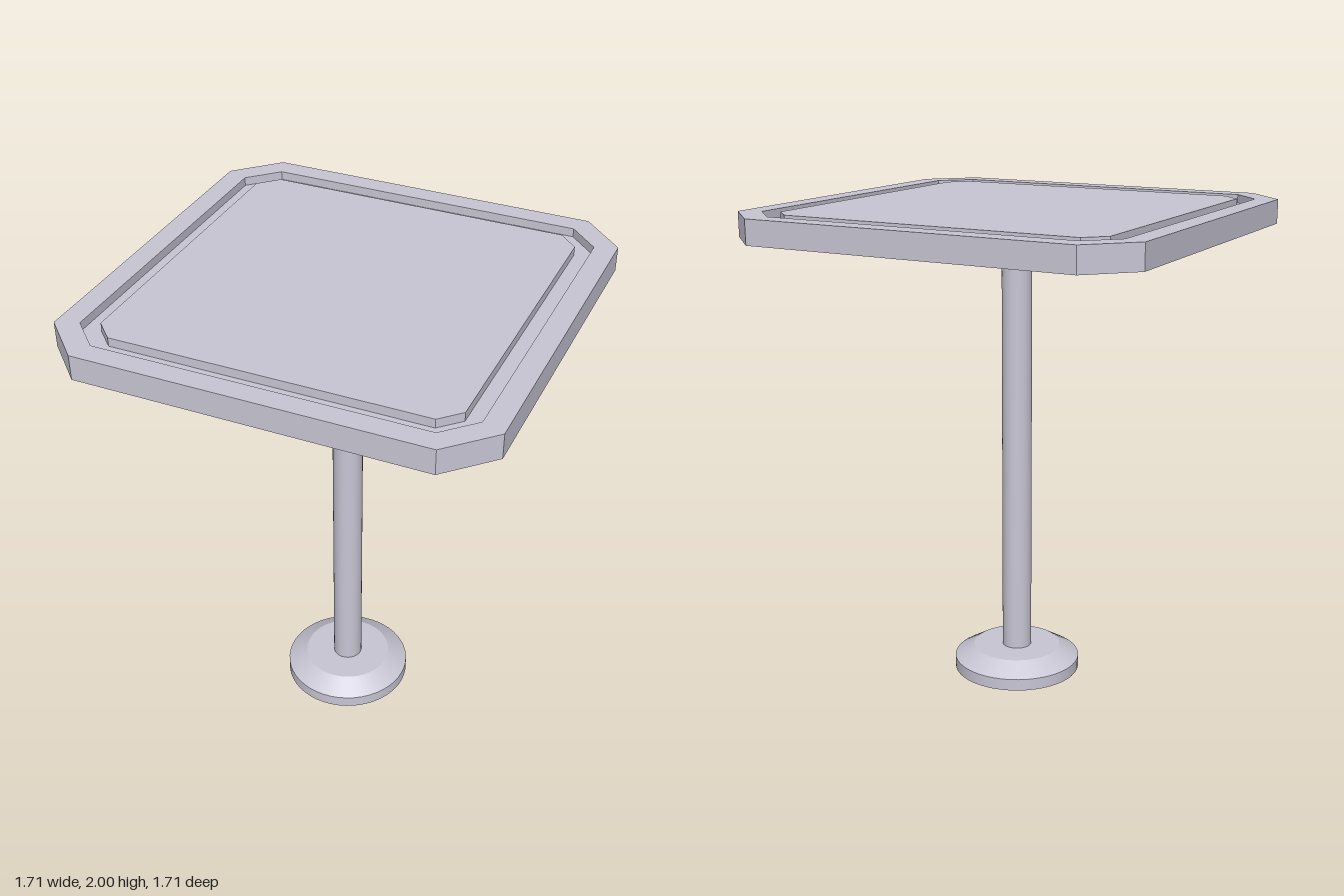
import * as THREE from 'three';

// Square of half-width h whose corners are cut off where the straight sides end at c
function cutSquare(h, c, Type = THREE.Shape) {
  const shape = new Type();
  shape.setFromPoints([
    [h, -c], [h, c], [c, h], [-c, h], [-h, c], [-h, -c], [-c, -h], [c, -h],
  ].map(([x, y]) => new THREE.Vector2(x, y)));
  shape.closePath();
  return shape;
}

export function createModel() {
  const model = new THREE.Group();
  model.name = 'pedestalTable';
  const grey = new THREE.MeshStandardMaterial({ color: 0xc8c6d4 });
  grey.name = 'lavender grey';

  const add = (name, geometry, y) => {
    const mesh = new THREE.Mesh(geometry, grey);
    mesh.name = name;
    mesh.position.y = y;
    model.add(mesh);
  };
  // Flat plate lying in the xz plane, bottom at its own y = 0
  const plate = (shape, depth) =>
    new THREE.ExtrudeGeometry(shape, { depth, bevelEnabled: false }).rotateX(-Math.PI / 2);

  // Round foot: straight disc with a sloping collar
  add('footDisc', new THREE.CylinderGeometry(0.268, 0.268, 0.05, 48), 0.025);
  add('footCollar', new THREE.CylinderGeometry(0.185, 0.268, 0.05, 48), 0.075);

  // Central pole
  add('pole', new THREE.CylinderGeometry(0.062, 0.062, 1.8, 32, 1, true), 1.0);

  // Table top: slab, raised rim and raised panel with a groove between them
  const groove = 0.035;
  add('topSlab', plate(cutSquare(0.855, 0.685), 0.1 - groove), 1.9);
  const rim = cutSquare(0.855, 0.685);
  rim.holes.push(cutSquare(0.767, 0.65, THREE.Path));
  add('topRim', plate(rim, groove), 2 - groove);
  add('topPanel', plate(cutSquare(0.698, 0.622), groove), 2 - groove);

  return model;
}
